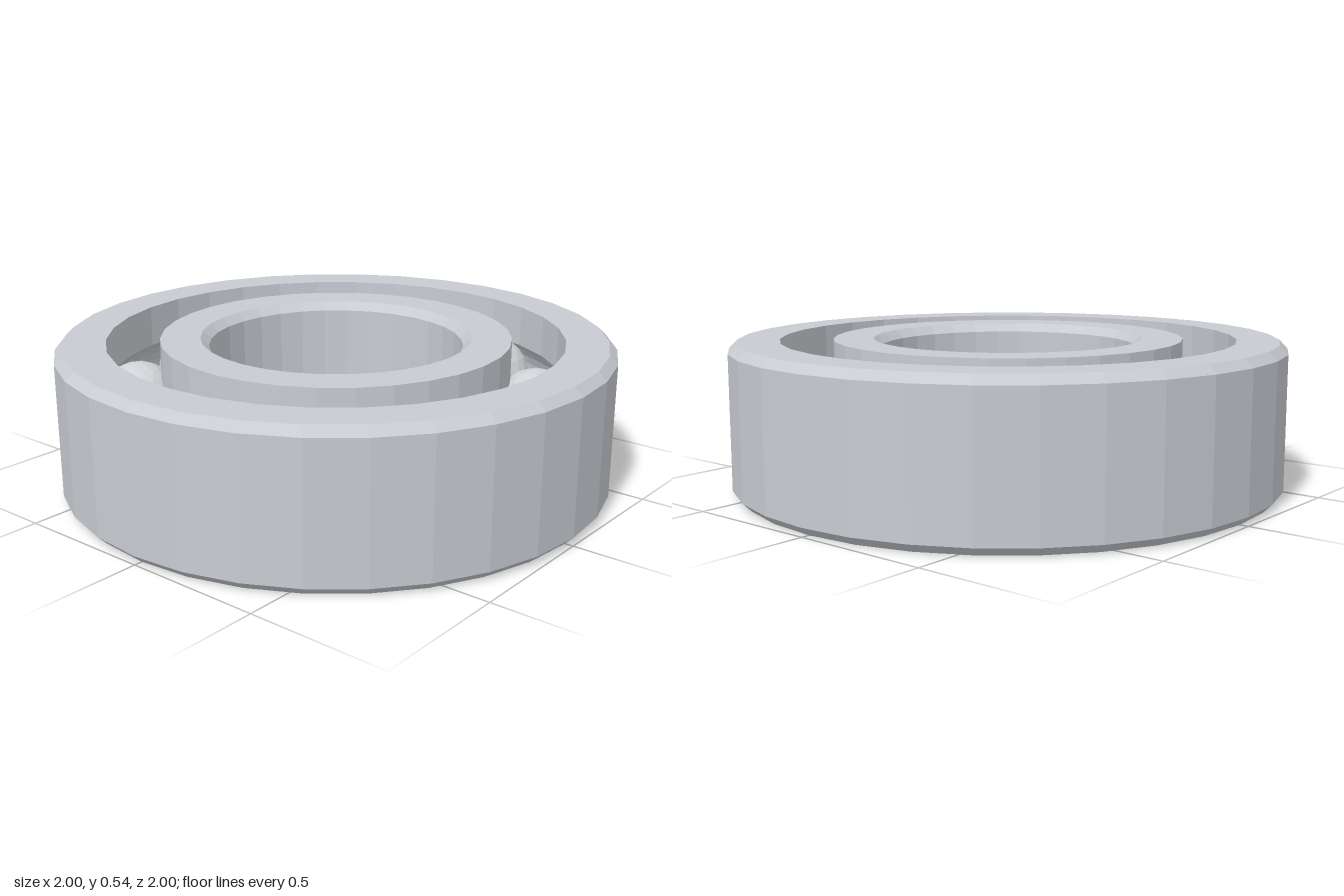
import * as THREE from 'three';

const H = 0.54, MID = H / 2, CH = 0.03;
const ORBIT = 0.727, BALL_R = 0.15, BALLS = 10, SEGMENTS = 32;

// separate every face so it gets its own flat normal
function faceted(geometry) {
  const g = geometry.index ? geometry.toNonIndexed() : geometry;
  g.computeVertexNormals();
  return g;
}

// arc of the ball groove cut into a wall of the given radius, listed in the given y direction
function groove(wall, direction) {
  const side = Math.sign(wall - ORBIT);
  const half = Math.acos(Math.abs(wall - ORBIT) / BALL_R);
  const points = [];
  for (let i = 0; i <= 8; i++) {
    const a = direction * half * (i / 4 - 1);
    points.push([ORBIT + side * BALL_R * Math.cos(a), MID + BALL_R * Math.sin(a)]);
  }
  return points;
}

// closed cross-section, listed counter-clockwise, turned round the axis
function ring(name, profile, material) {
  const points = [...profile, profile[0]].map(([r, y]) => new THREE.Vector2(r, y));
  const mesh = new THREE.Mesh(faceted(new THREE.LatheGeometry(points, SEGMENTS)), material);
  mesh.name = name;
  return mesh;
}

export function createModel() {
  const model = new THREE.Group();
  model.name = 'ballBearing';
  const steel = new THREE.MeshStandardMaterial({ color: 0xc8ccd2 });
  steel.name = 'steel grey';
  const polished = new THREE.MeshStandardMaterial({ color: 0xd0d2d5 });
  polished.name = 'polished steel';

  // outer ring: chamfered outside, grooved inside
  model.add(ring('outerRing', [
    [0.97, 0], [1, CH], [1, H - CH], [0.97, H], [0.82, H],
    ...groove(0.82, -1), [0.82, 0],
  ], steel));

  // inner ring: grooved outside, chamfered bore
  model.add(ring('innerRing', [
    [0.63, 0], ...groove(0.63, 1), [0.63, H],
    [0.487, H], [0.457, H - CH], [0.457, CH], [0.487, 0],
  ], steel));

  // balls spaced evenly in the race
  const balls = new THREE.Group();
  balls.name = 'balls';
  const ballGeometry = faceted(new THREE.IcosahedronGeometry(BALL_R, 3));
  for (let i = 0; i < BALLS; i++) {
    const a = (i / BALLS) * Math.PI * 2;
    const ball = new THREE.Mesh(ballGeometry, polished);
    ball.name = 'ball';
    ball.position.set(Math.cos(a) * ORBIT, MID, Math.sin(a) * ORBIT);
    balls.add(ball);
  }
  model.add(balls);
  return model;
}
